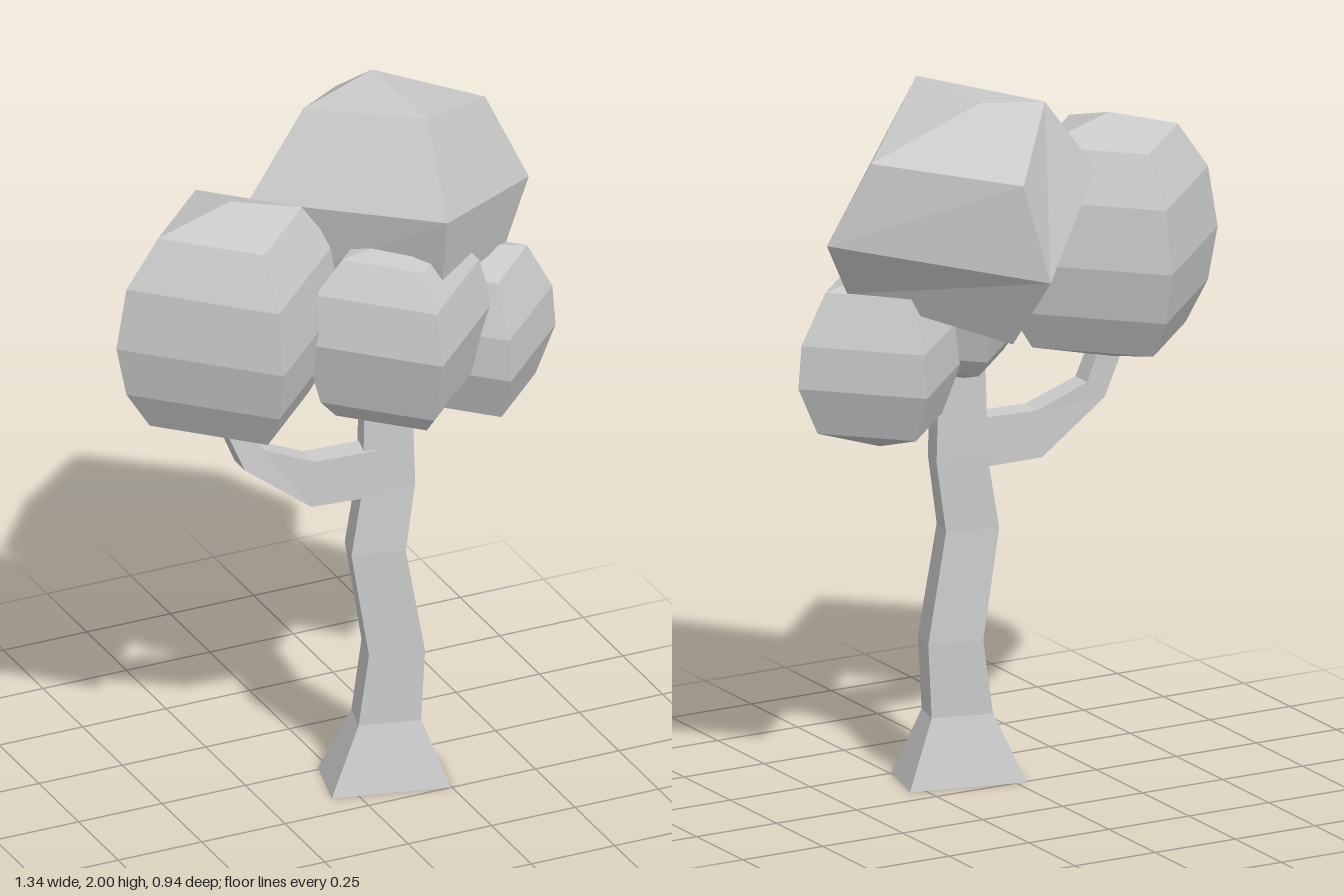
import * as THREE from 'three';

const material = new THREE.MeshStandardMaterial({ color: 0xcccccc, flatShading: true });

// Skins a stack of rings (counterclockwise seen from the far end); a one-point ring closes an end.
function loft(name, rings) {
  const pos = [];
  for (let k = 0; k < rings.length - 1; k++) {
    const a = rings[k], b = rings[k + 1], n = Math.max(a.length, b.length);
    for (let i = 0; i < n; i++) {
      const j = (i + 1) % n;
      const a0 = a[i % a.length], a1 = a[j % a.length];
      const b0 = b[i % b.length], b1 = b[j % b.length];
      if (a.length > 1) pos.push(...a0, ...a1, ...b1);
      if (b.length > 1) pos.push(...a0, ...b1, ...b0);
    }
  }
  const geometry = new THREE.BufferGeometry();
  geometry.setAttribute('position', new THREE.Float32BufferAttribute(pos, 3));
  geometry.computeVertexNormals();
  const mesh = new THREE.Mesh(geometry, material);
  mesh.name = name;
  return mesh;
}

// Four-sided leaf clump; rings are [y, radius] from bottom to top.
function clump(name, x, z, bottom, rings, top) {
  return loft(name, [
    [[x, bottom, z]],
    ...rings.map(([y, r]) => [[x, y, z + r], [x + r, y, z], [x, y, z - r], [x - r, y, z]]),
    [[x, top, z]],
  ]);
}

export function createModel() {
  const tree = new THREE.Group();
  tree.name = 'tree';

  // Crooked trunk with flared foot: [y, centre x, centre z, width, depth]
  const turn = 0.24, c = Math.cos(turn), s = Math.sin(turn);
  const trunk = [
    [0, 0.11, 0.12, 0.33, 0.185],
    [0.19, 0.115, 0.12, 0.173, 0.097],
    [0.4, 0.135, 0.122, 0.155, 0.1],
    [0.71, 0.083, 0.118, 0.15, 0.09],
    [0.91, 0.115, 0.117, 0.145, 0.085],
    [1.3, 0.115, 0.115, 0.125, 0.075],
  ].map(([y, x, z, w, d]) => [[-1, 1], [1, 1], [1, -1], [-1, -1]].map(([i, j]) => {
    const u = i * w / 2, v = j * d / 2;
    return [x + u * c - v * s, y, z + u * s + v * c];
  }));
  tree.add(loft('trunk', [[[0.11, 0, 0.12]], ...trunk, [[0.115, 1.3, 0.115]]]));

  // Side branch: [lower x, lower y, upper x, upper y, z, half depth]
  const branch = [
    [0.1, 0.88, 0.1, 1.02, 0.118, 0.036],
    [-0.12, 0.885, -0.11, 1.02, 0.105, 0.036],
    [-0.31, 1.03, -0.255, 1.08, 0.09, 0.032],
    [-0.38, 1.2, -0.3, 1.2, 0.08, 0.028],
  ].map(([xl, yl, xu, yu, z, h]) =>
    [[xl, yl, z - h], [xl, yl, z + h], [xu, yu, z + h], [xu, yu, z - h]]);
  tree.add(loft('branch', [[[0.1, 0.95, 0.118]], ...branch, [[-0.34, 1.2, 0.08]]]));

  // Large crown, leaning back
  tree.add(loft('crown', [
    [[0.2, 1.37, 0.02]],
    [[0.19, 1.55, 0.31], [0.54, 1.47, -0.02], [0.19, 1.35, -0.31], [-0.12, 1.5, -0.04]],
    [[0.18, 1.79, 0.37], [0.63, 1.63, -0.065], [0.165, 1.56, -0.47], [-0.2, 1.73, -0.085]],
    [[0.225, 1.995, 0.15], [0.53, 1.865, -0.13], [0.22, 1.83, -0.42], [-0.02, 1.955, -0.12]],
    [[0.21, 2, -0.17]],
  ]));

  // Smaller clumps around the crown
  tree.add(clump('rightClump', -0.33, 0.07, 1.14,
    [[1.2, 0.24], [1.31, 0.31], [1.455, 0.34], [1.63, 0.31], [1.765, 0.215]], 1.83));
  tree.add(clump('frontClump', 0.12, 0.18, 1.11,
    [[1.17, 0.185], [1.22, 0.23], [1.41, 0.285], [1.55, 0.245], [1.64, 0.165]], 1.67));
  tree.add(clump('leftClump', 0.415, 0.02, 1.01,
    [[1.075, 0.195], [1.21, 0.255], [1.33, 0.245], [1.47, 0.17]], 1.51));

  return tree;
}
